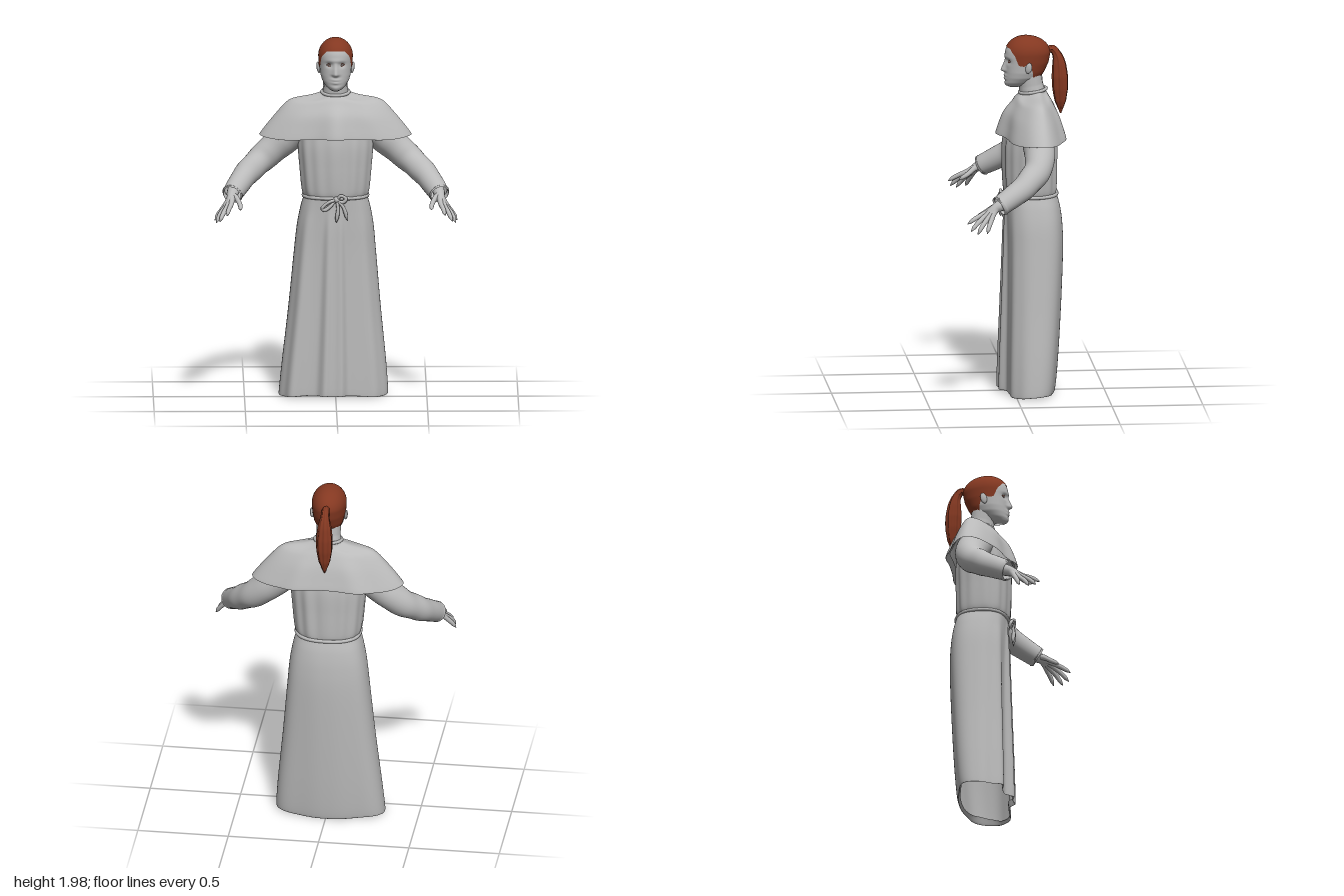
import * as THREE from 'three';
import { mergeVertices } from 'three/addons/utils/BufferGeometryUtils.js';

const grey = new THREE.MeshStandardMaterial({ color: 0xbababa, side: THREE.DoubleSide });
grey.name = 'pale grey';
const brown = new THREE.MeshStandardMaterial({ color: 0x843821, side: THREE.DoubleSide });
brown.name = 'red brown hair';

const { sin, cos, abs, sign, exp, PI } = Math;
const V = (p) => new THREE.Vector3(...p);
const bump = (d, w) => exp(-(d / w) * (d / w));
const signed = (a) => (a > PI ? a - 2 * PI : a);

function smooth(g) {
  g.deleteAttribute('uv');
  g.deleteAttribute('normal');
  const m = mergeVertices(g, 1e-5);
  m.computeVertexNormals();
  return m;
}

// Closed-around surface: fn(angle, v) gives a point; angle 0 is the front, v runs upwards
function surface(nu, nv, fn) {
  const pos = [], idx = [];
  for (let j = 0; j <= nv; j++)
    for (let i = 0; i < nu; i++) pos.push(...fn((i / nu) * 2 * PI, j / nv));
  for (let j = 0; j < nv; j++)
    for (let i = 0; i < nu; i++) {
      const k = (i + 1) % nu, a = j * nu + i, b = j * nu + k;
      idx.push(a, b, a + nu, b, b + nu, a + nu);
    }
  const g = new THREE.BufferGeometry();
  g.setAttribute('position', new THREE.Float32BufferAttribute(pos, 3));
  g.setIndex(idx);
  return smooth(g);
}

// Draped cloth through rows of [y, half width, front z, back z, fold depth]
function drape(rows, { power = 1, centre, fold, shift = () => [0, 0] }) {
  const c1 = new THREE.CatmullRomCurve3(rows.map((r) => V([r[0], r[1], 0])), false, 'catmullrom');
  const c2 = new THREE.CatmullRomCurve3(rows.map((r) => V([r[2], r[3], r[4]])), false, 'catmullrom');
  return surface(240, 56, (a, v) => {
    const p = c1.getPoint(v), q = c2.getPoint(v);
    const mid = centre ?? (q.x + q.y) / 2;
    const s = sign(sin(a)) * abs(sin(a)) ** power, c = sign(cos(a)) * abs(cos(a)) ** power;
    const f = q.z * fold(signed(a));
    const [dx, dy] = shift(a, v);
    return [s * (p.y + f * 0.4) + dx, p.x + dy, mid + c * (c > 0 ? q.x - mid : mid - q.y) + f * cos(a)];
  });
}

// Tube of changing radius along a smooth path
function sweep(points, radii, { sides = 16, steps = 32, shape = () => 1 } = {}) {
  const curve = new THREE.CatmullRomCurve3(points.map(V));
  const g = new THREE.TubeGeometry(curve, steps, 1, sides, false);
  const pos = g.attributes.position, p = new THREE.Vector3();
  for (let i = 0; i <= steps; i++) {
    const t = i / steps, c = curve.getPointAt(t);
    const k = Math.min(t * (radii.length - 1), radii.length - 1.0001), n = Math.floor(k);
    const r = THREE.MathUtils.lerp(radii[n], radii[n + 1], k - n);
    for (let j = 0; j <= sides; j++) {
      const at = i * (sides + 1) + j;
      p.fromBufferAttribute(pos, at).sub(c).multiplyScalar(r * shape((j / sides) * 2 * PI, t)).add(c);
      pos.setXYZ(at, p.x, p.y, p.z);
    }
  }
  return smooth(g);
}

// Head rows: y, half width, front z, back z (the crown above is an ellipsoid)
const headRows = [[1.712, 0.012, 0.015, -0.03], [1.722, 0.034, 0.036, -0.07], [1.74, 0.055, 0.043, -0.11],
  [1.77, 0.074, 0.043, -0.15], [1.8, 0.083, 0.042, -0.17], [1.85, 0.089, 0.041, -0.192], [1.9, 0.092, 0.044, -0.202]];

function headPoint(a, u, grow = 0) {
  let y = 1.712 + 0.188 * Math.min(u, 1), f = 1;
  let k = headRows.findIndex((r) => r[0] >= y - 1e-9);
  k = Math.max(1, k < 0 ? headRows.length - 1 : k);
  const A = headRows[k - 1], B = headRows[k], t = (y - A[0]) / (B[0] - A[0]);
  const [rx, zf, zb] = [1, 2, 3].map((i) => A[i] + (B[i] - A[i]) * t);
  if (u > 1) {
    y = 1.9 + (0.097 + grow) * sin(((u - 1) * PI) / 2);
    f = cos(((u - 1) * PI) / 2);
  }
  const mid = (zf + zb) / 2 + 0.01;
  const x = sin(a) * (rx + grow) * f;
  let z = mid + cos(a) * ((cos(a) > 0 ? zf - mid : mid - zb) + grow) * f;
  if (cos(a) > 0 && !grow) {
    // Nose, eye sockets, brow, lips and chin
    const nose = y > 1.81 ? Math.max(0, 1 - (y - 1.81) / 0.065) : bump(y - 1.81, 0.012);
    z += 0.027 * nose * bump(x, 0.01 + 0.008 * nose);
    z -= 0.01 * bump(abs(x) - 0.036, 0.018) * bump(y - 1.862, 0.014);
    z += 0.005 * bump(y - 1.885, 0.012) * bump(x, 0.06);
    z += 0.009 * (bump(y - 1.78, 0.007) + bump(y - 1.763, 0.007)) * bump(x, 0.024);
    z += 0.006 * bump(y - 1.732, 0.014) * bump(x, 0.025);
  }
  return [x, y, z];
}

// Hairline height by angle from the front, in degrees
const hairline = [[0, 1.94], [35, 1.935], [55, 1.9], [68, 1.845], [85, 1.84], [95, 1.86], [108, 1.82], [125, 1.765], [180, 1.745]];
function hairStart(a) {
  const d = (abs(signed(a)) * 180) / PI;
  const i = Math.max(1, hairline.findIndex((h) => h[0] >= d - 1e-6));
  const [p, q] = [hairline[i - 1], hairline[i]];
  const y = p[1] + ((q[1] - p[1]) * (d - p[0])) / (q[0] - p[0]);
  return y < 1.9 ? (y - 1.712) / 0.188 : 1 + (Math.asin((y - 1.9) / 0.1) * 2) / PI;
}

export function createModel() {
  const model = new THREE.Group();
  const add = (name, geo, mat = grey, parent = model) => {
    const m = new THREE.Mesh(geo, mat);
    m.name = name;
    parent.add(m);
    return m;
  };

  // Robe: deep folds in front, a nearly smooth back
  add('skirt', drape([[0.05, 0.288, 0.035, -0.205, 0.045], [0.03, 0.3, 0.042, -0.222, 0.048], [0.2, 0.286, 0.042, -0.24, 0.044],
    [0.5, 0.254, 0.038, -0.258, 0.036], [0.8, 0.226, 0.036, -0.27, 0.026], [0.95, 0.211, 0.038, -0.267, 0.018],
    [1.05, 0.193, 0.04, -0.255, 0.008], [1.12, 0.174, 0.043, -0.237, 0.002]], {
    power: 0.78,
    fold: (a) => bump(a + 0.74, 0.22) + 0.95 * bump(a + 0.09, 0.09) + 0.8 * bump(a - 0.07, 0.07)
      + 0.35 * bump(a - 0.75, 0.2) + 0.12 * cos(6 * a) * bump(abs(a) - PI, 1.2),
    shift: (a, v) => [-0.016 * (1 - v) ** 2, 0.018 * cos(3 * a + 0.4) * (1 - v) ** 10],
  }));
  add('bodice', drape([[1.115, 0.172, 0.043, -0.232, 0.002], [1.16, 0.186, 0.052, -0.238, 0.005], [1.28, 0.198, 0.057, -0.24, 0.006],
    [1.42, 0.208, 0.055, -0.24, 0.005], [1.54, 0.2, 0.03, -0.22, 0], [1.62, 0.12, -0.02, -0.18, 0]], {
    power: 0.85,
    fold: (a) => 0.6 * cos(14 * a) + 0.4 * cos(9 * a + 1),
  }));
  add('shoulderCape', drape([[1.475, 0.39, 0.045, -0.25, 0.025], [1.448, 0.418, 0.06, -0.272, 0.032], [1.5, 0.38, 0.05, -0.26, 0.028],
    [1.57, 0.322, 0.032, -0.24, 0.018], [1.625, 0.272, 0.0, -0.215, 0.006], [1.65, 0.225, -0.015, -0.2, 0.002],
    [1.668, 0.13, -0.03, -0.19, 0], [1.685, 0.08, -0.042, -0.18, 0], [1.7, 0.07, -0.045, -0.178, 0]], {
    centre: -0.13,
    fold: (a) => bump(a, 0.2) + 0.15 * cos(9 * a) * bump(a, 1) + 0.6 * bump(abs(a) - 2.72, 0.2),
    shift: (a) => [0, 0.006 * cos(4 * a)],
  }));
  const collar = add('collar', new THREE.TorusGeometry(0.074, 0.009, 10, 40));
  collar.position.set(0, 1.692, -0.109);
  collar.rotation.x = PI / 2 + 0.15;

  // Rope belt with a knotted bow
  const belt = [];
  for (let i = 0; i < 24; i++) {
    const a = (i / 24) * 2 * PI, p = (x) => sign(x) * abs(x) ** 0.85;
    belt.push(V([0.176 * p(sin(a)), 1.122, -0.096 + 0.143 * p(cos(a))]));
  }
  add('ropeBelt', new THREE.TubeGeometry(new THREE.CatmullRomCurve3(belt, true), 96, 0.01, 8, true));
  const knot = add('knot', new THREE.SphereGeometry(0.018, 16, 12));
  knot.position.set(0.005, 1.118, 0.06);
  const cords = [
    [[0.005, 1.118, 0.062], [-0.04, 1.105, 0.072], [-0.075, 1.07, 0.067], [-0.06, 1.062, 0.067], [0.005, 1.115, 0.065]],
    [[0.005, 1.118, 0.062], [0.03, 1.142, 0.072], [0.055, 1.125, 0.07], [0.04, 1.105, 0.067], [0.005, 1.115, 0.065]],
    [[0.005, 1.118, 0.062], [0.012, 1.07, 0.072], [0.002, 0.99, 0.07]],
    [[0.005, 1.118, 0.062], [0.04, 1.08, 0.07], [0.066, 1.0, 0.064]],
  ];
  cords.forEach((c, i) => add('bowCord' + (i + 1), sweep(c, [0.009, 0.009, 0.009, 0.011, 0.01, 0.001], { sides: 8 })));

  // Head
  const head = new THREE.Group();
  head.name = 'head';
  model.add(head);
  add('face', surface(120, 72, (a, v) => headPoint(a, v * 2)), grey, head);
  add('neck', sweep([[0, 1.64, -0.115], [0, 1.72, -0.099], [0, 1.81, -0.088]], [0.076, 0.067, 0.068]), grey, head);
  add('hairCap', surface(120, 40, (a, v) => {
    const u = hairStart(a);
    return headPoint(a, u + (2 - u) * v, 0.003);
  }), brown, head);
  const strands = (a) => 1 + 0.07 * cos(7 * a) + 0.04 * cos(12 * a);
  add('ponytail', sweep([[0, 1.91, -0.18], [0, 1.922, -0.215], [0, 1.88, -0.245], [0, 1.76, -0.258], [0, 1.66, -0.26], [0, 1.56, -0.262]],
    [0.018, 0.022, 0.036, 0.043, 0.041, 0.03, 0.003], { sides: 42, steps: 40, shape: strands }), brown, head);
  for (const s of [1, -1]) {
    const side = s > 0 ? 'left' : 'right';
    const ear = add(side + 'Ear', new THREE.SphereGeometry(1, 20, 14), grey, head);
    ear.scale.set(0.009, 0.031, 0.018);
    ear.position.set(s * 0.094, 1.832, -0.078);
    ear.rotation.set(-0.25, s * -0.3, s * -0.15);
    const eye = add(side + 'Eye', new THREE.SphereGeometry(1, 16, 12), grey, head);
    eye.scale.set(0.014, 0.006, 0.007);
    eye.position.set(s * 0.036, 1.861, 0.018);
    for (const [lid, y] of [['Upper', 1.868], ['Lower', 1.855]])
      add(side + lid + 'Lashes', sweep([[s * 0.021, 1.861, 0.028], [s * 0.036, y, 0.027], [s * 0.051, 1.862, 0.019]],
        [0.001, 0.002, 0.001], { sides: 6, steps: 10 }), brown, head);

    // Sleeve, with soft creases near the elbow
    const arm = new THREE.Group();
    arm.name = side + 'Arm';
    model.add(arm);
    const flip = (pts) => pts.map(([x, y, z]) => [s * x, y, z]);
    add('sleeve', sweep(flip([[0.16, 1.53, -0.1], [0.28, 1.43, -0.118], [0.39, 1.335, -0.105], [0.49, 1.25, -0.02], [0.57, 1.16, 0.125]]),
      [0.092, 0.088, 0.076, 0.066, 0.056], {
        sides: 28, steps: 48,
        shape: (a, t) => 1 + 0.025 * sin(t * 30 + 2 * cos(a)) * bump(t - 0.6, 0.25),
      }), grey, arm);
    add('cuff', sweep(flip([[0.562, 1.169, 0.11], [0.567, 1.163, 0.119], [0.57, 1.159, 0.127]]),
      [0.053, 0.059, 0.05], { sides: 28, steps: 8 }), grey, arm);

    // Hand: each finger runs from the wrist over its knuckle to the tip
    const fingers = {
      thumb: [[0.55, 1.15, 0.16], [0.527, 1.118, 0.205], [0.523, 1.092, 0.25]],
      indexFinger: [[0.574, 1.122, 0.21], [0.588, 1.098, 0.26], [0.598, 1.07, 0.304]],
      middleFinger: [[0.594, 1.11, 0.208], [0.618, 1.075, 0.252], [0.638, 1.035, 0.289]],
      ringFinger: [[0.608, 1.1, 0.194], [0.638, 1.062, 0.228], [0.656, 1.022, 0.253]],
      littleFinger: [[0.618, 1.094, 0.174], [0.645, 1.06, 0.19], [0.664, 1.028, 0.201]],
    };
    for (const [name, pts] of Object.entries(fingers))
      add(name, sweep(flip([[0.562, 1.175, 0.09], [0.57, 1.155, 0.14], ...pts]),
        [0.034, 0.032, 0.029, 0.024, 0.018, 0.0145, 0.0135, 0.013, 0.0125, 0.011, 0.002], { sides: 12, steps: 40 }), grey, arm);
  }
  return model;
}
